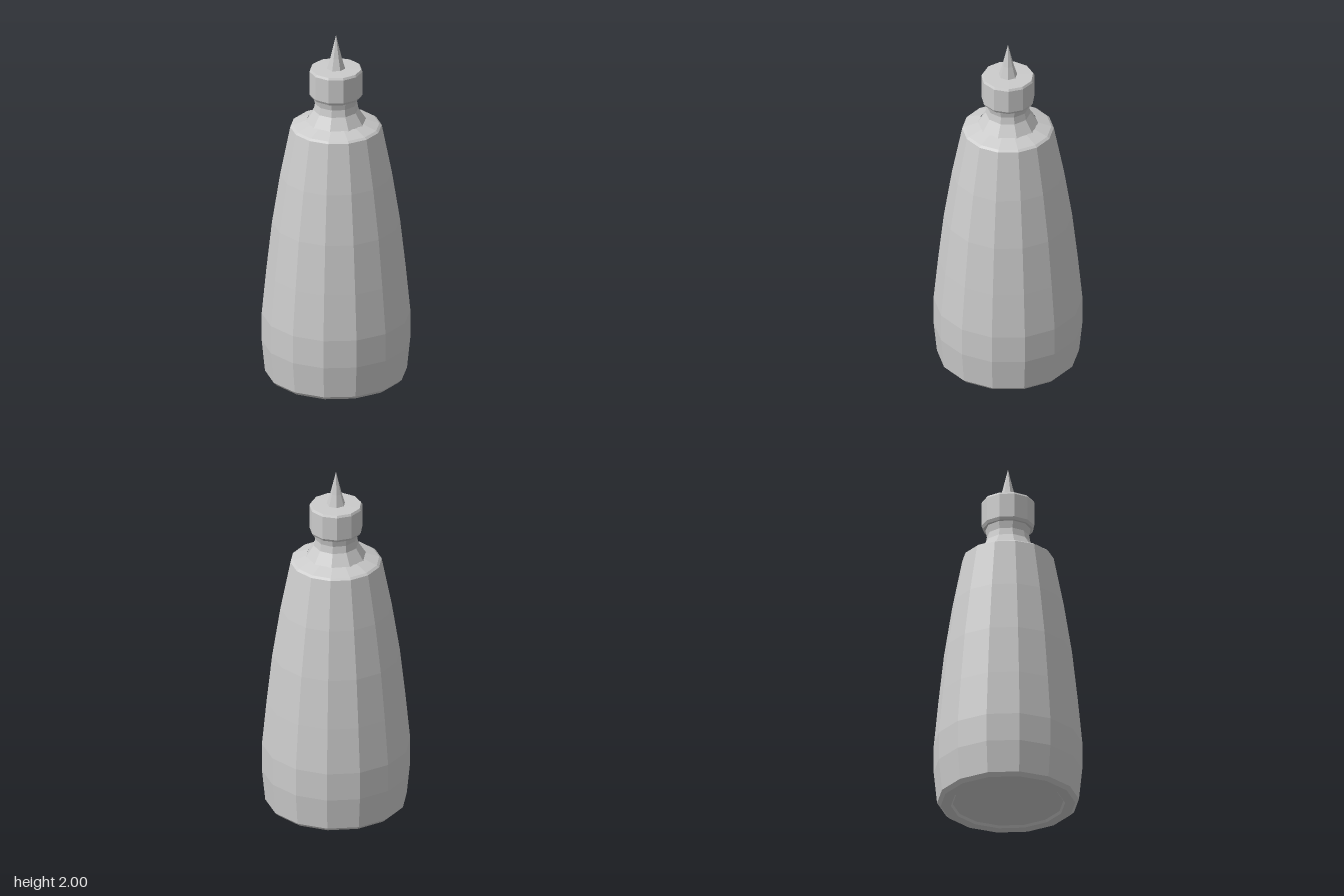
import * as THREE from 'three';

// Faceted solid of revolution; profile runs from bottom to top as [radius, y]
function turned(name, profile, sides, turn = 0) {
  const points = profile.map(([r, y]) => new THREE.Vector2(r, y));
  const material = new THREE.MeshStandardMaterial({ color: 0xcccccc, flatShading: true });
  const mesh = new THREE.Mesh(new THREE.LatheGeometry(points, sides, turn), material);
  mesh.name = name;
  return mesh;
}

export function createModel() {
  const bottle = new THREE.Group();
  bottle.name = 'squeezeBottle';

  // Tapered body with a shallow recess underneath and a sloping shoulder
  bottle.add(turned('body', [
    [0, 0.012], [0.3, 0.012], [0.31, 0], [0.365, 0], [0.385, 0.02],
    [0.403, 0.2], [0.403, 0.36], [0.378, 0.62], [0.347, 0.9], [0.303, 1.18],
    [0.248, 1.46], [0.235, 1.47], [0.16, 1.497],
  ], 14));

  // Neck flaring out of the shoulder
  bottle.add(turned('neck', [
    [0.165, 1.494], [0.122, 1.56], [0.115, 1.6], [0.125, 1.65],
  ], 10, 0.15));

  // Screw cap
  bottle.add(turned('cap', [
    [0.1, 1.64], [0.136, 1.64], [0.145, 1.655], [0.145, 1.79],
    [0.138, 1.802], [0, 1.805],
  ], 11));

  // Pointed spout, slightly concave
  bottle.add(turned('spout', [
    [0.052, 1.8], [0.031, 1.87], [0.014, 1.94], [0, 2],
  ], 7, 0.2));

  return bottle;
}
